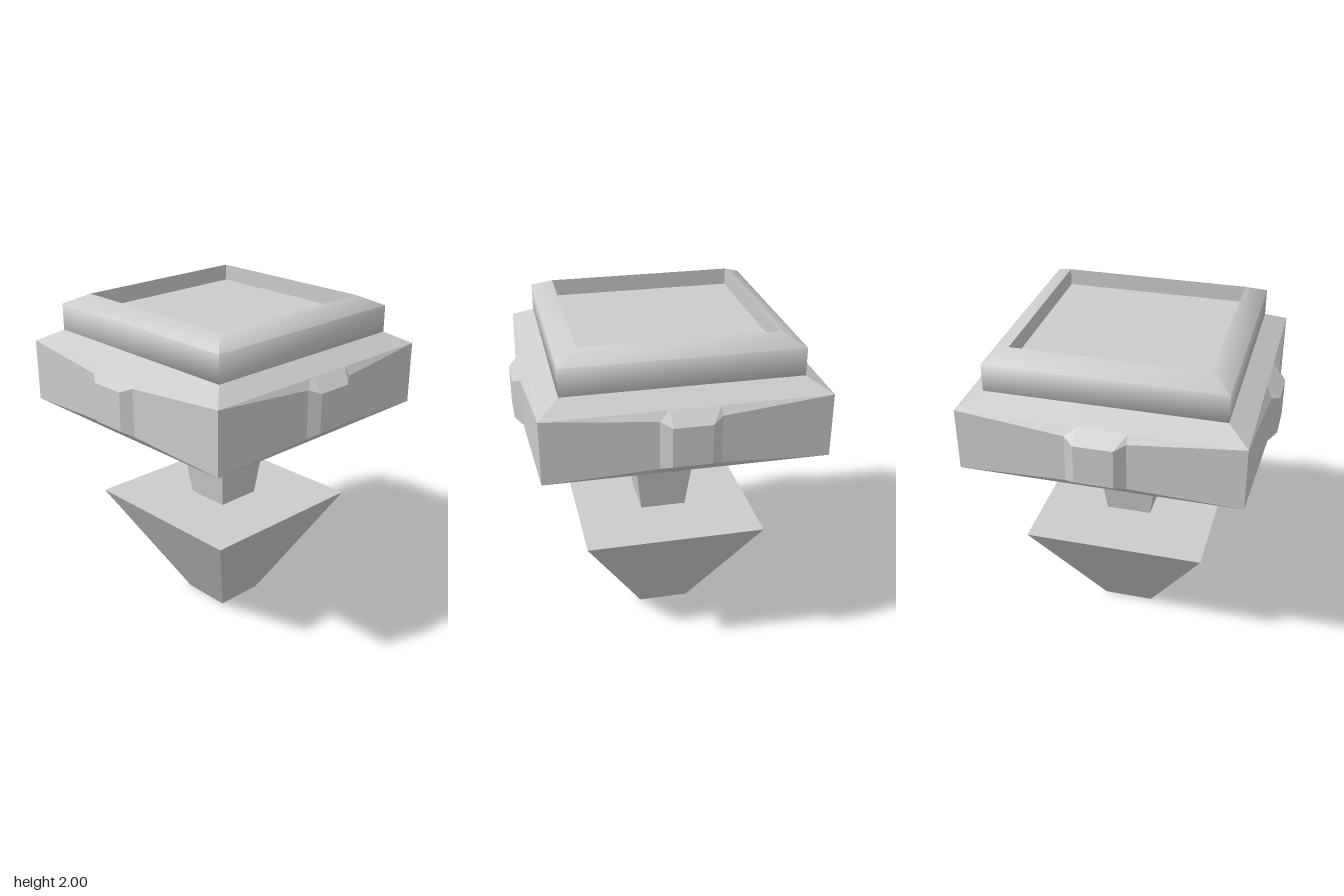
import * as THREE from 'three';
import { toCreasedNormals } from 'three/addons/utils/BufferGeometryUtils.js';

const material = new THREE.MeshStandardMaterial({ color: 0xcccccc });

// Repeat one front-side run of [x, y, z] points around the four sides.
function fourSides(run) {
  const ring = [];
  for (let s = 0; s < 4; s++) {
    for (const [x, y, z] of run) {
      const p = [[x, z], [z, -x], [-x, -z], [-z, x]][s];
      ring.push(new THREE.Vector3(p[0], y, p[1]));
    }
  }
  return ring;
}

// Skin consecutive rings, optionally closing both ends; normals stay hard above the crease angle.
function loft(rings, capped, crease) {
  const pos = [];
  const tri = (a, b, c) => {
    if (new THREE.Triangle(a, b, c).getArea() > 1e-6) pos.push(...a, ...b, ...c);
  };
  for (let r = 0; r + 1 < rings.length; r++) {
    const lo = rings[r], hi = rings[r + 1], n = lo.length;
    for (let i = 0; i < n; i++) {
      const j = (i + 1) % n;
      tri(lo[i], lo[j], hi[j]);
      tri(lo[i], hi[j], hi[i]);
    }
  }
  if (capped) {
    const bottom = rings[0], top = rings[rings.length - 1];
    for (let i = 1; i + 1 < top.length; i++) {
      tri(bottom[0], bottom[i + 1], bottom[i]);
      tri(top[0], top[i], top[i + 1]);
    }
  }
  const geometry = new THREE.BufferGeometry();
  geometry.setAttribute('position', new THREE.Float32BufferAttribute(pos, 3));
  return toCreasedNormals(geometry, crease);
}

const square = (half, y) => fourSides([[-half, y, half]]);

export function createModel() {
  const group = new THREE.Group();
  const add = (name, geometry) => {
    const mesh = new THREE.Mesh(geometry, material);
    mesh.name = name;
    group.add(mesh);
    return mesh;
  };
  const hard = 0.01;

  // Inverted pyramid foot and flared neck
  add('spike', loft([square(0.155, 0), square(0.54, 0.71)], true, hard));
  add('neck', loft([square(0.138, 0.7), square(0.213, 1.3)], true, hard));

  // Wide collar whose sides swell towards a raised boss in the middle of each
  const xs = [-0.17, -0.11, 0.11, 0.17];
  const flat = (half, y) => fourSides([[-half, y, half], ...xs.map((x) => [x, y, half])]);
  const swell = (sign) => {
    const y = (h) => 1.525 + sign * h;
    return fourSides([
      [-0.8, y(0.185), 0.8],
      [-0.17, y(0.14), 0.835],
      [-0.11, y(0.115), 0.88],
      [0.11, y(0.115), 0.88],
      [0.17, y(0.14), 0.835],
    ]);
  };
  add('collar', loft([
    flat(0.675, 1.27), flat(0.8, 1.34), swell(-1),
    swell(1), flat(0.8, 1.71), flat(0.675, 1.78),
  ], true, hard));

  // Softly shaded bevelled rim around a sunken top panel
  add('rim', loft([
    square(0.555, 1.72), square(0.675, 1.78), square(0.675, 1.94),
    square(0.555, 2), square(0.555, 1.9),
  ], false, THREE.MathUtils.degToRad(70)));
  const panel = add('topPanel', new THREE.PlaneGeometry(1.11, 1.11));
  panel.rotation.x = -Math.PI / 2;
  panel.position.y = 1.9;

  return group;
}
